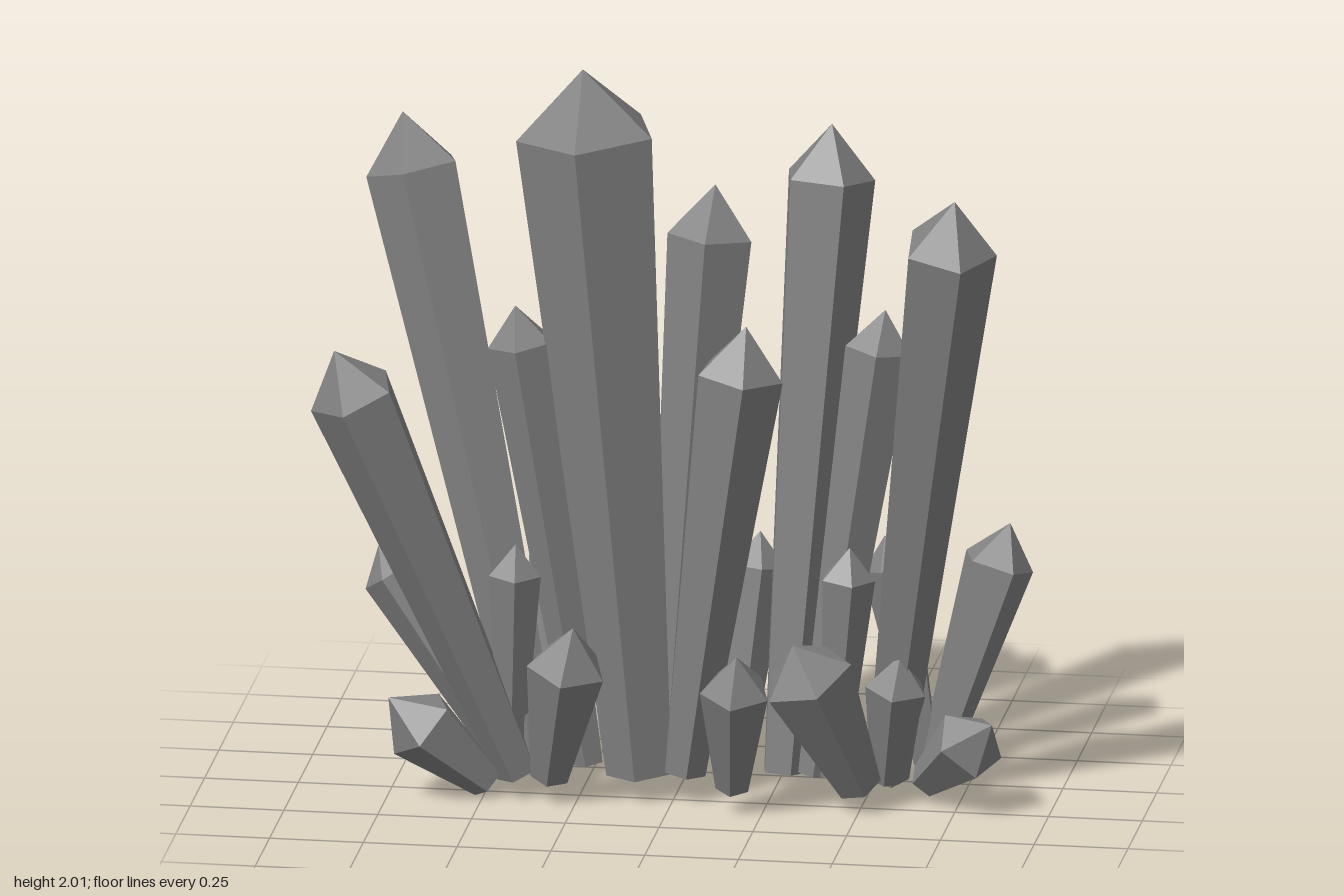
import * as THREE from 'three';

const material = new THREE.MeshStandardMaterial({ color: 0x828282, flatShading: true });

// One five-sided shard: narrow foot, widening shaft, pointed cap
function crystal(name, base, tip, radius, spin, capRatio = 1.15) {
  const a = new THREE.Vector3(...base), axis = new THREE.Vector3(...tip).sub(a);
  const length = axis.length();
  const profile = [
    [0, 0],
    [radius * 0.48, 0],
    [radius, length - radius * capRatio],
    [0, length],
  ].map(([r, y]) => new THREE.Vector2(r, y));
  const start = Math.PI / 2 - THREE.MathUtils.degToRad(spin);
  const geometry = new THREE.LatheGeometry(profile, 5, start).toNonIndexed();
  geometry.computeVertexNormals();
  const mesh = new THREE.Mesh(geometry, material);
  mesh.name = name;
  mesh.position.copy(a);
  mesh.quaternion.setFromUnitVectors(new THREE.Vector3(0, 1, 0), axis.normalize());
  return mesh;
}

// foot centre, tip, shoulder radius, spin in degrees, cap height per radius
const tall = [
  [[-0.09, 0.06, -0.02], [-0.24, 2.0, 0.01], 0.192, 20, 0.92],
  [[-0.35, 0.07, 0.0], [-0.76, 1.78, -0.25], 0.13, 22],
  [[-0.41, 0.06, 0.03], [-0.86, 1.28, 0.29], 0.12, 25],
  [[-0.23, 0.08, -0.02], [-0.42, 1.34, 0.01], 0.09, 20],
  [[-0.03, 0.06, -0.12], [0.08, 1.63, -0.21], 0.118, 18],
  [[0.28, 0.06, -0.08], [0.38, 1.79, -0.28], 0.125, -10],
  [[0.55, 0.05, -0.11], [0.79, 1.76, 0.26], 0.127, -5],
  [[0.03, 0.07, 0.0], [0.2, 1.32, 0.04], 0.118, 5],
  [[0.37, 0.07, -0.04], [0.55, 1.34, -0.1], 0.093, 15],
];

const small = [
  [[-0.43, 0.07, 0.0], [-0.8, 0.63, -0.09], 0.09, 30, 0.9],
  [[-0.43, 0.08, 0.02], [-0.41, 0.7, 0.07], 0.072, 10],
  [[-0.36, 0.06, -0.02], [-0.34, 0.69, -0.15], 0.07, 0],
  [[-0.4, 0.06, -0.03], [-0.46, 0.42, -0.15], 0.08, 20],
  [[-0.49, 0.03, 0.03], [-0.74, 0.28, 0.13], 0.105, 18],
  [[-0.32, 0.06, 0.06], [-0.24, 0.51, 0.18], 0.108, 18],
  [[0.15, 0.06, -0.1], [0.2, 0.68, -0.21], 0.08, 0],
  [[0.17, 0.06, 0.08], [0.2, 0.46, 0.21], 0.095, 18],
  [[0.5, 0.06, 0.02], [0.345, 0.49, 0.18], 0.125, 0, 0.85],
  [[0.42, 0.07, -0.03], [0.47, 0.71, 0.0], 0.074, 0],
  [[0.56, 0.06, -0.05], [0.61, 0.43, 0.03], 0.085, 18],
  [[0.67, 0.07, -0.17], [0.86, 0.72, -0.25], 0.098, -16],
  [[0.66, 0.05, -0.09], [0.86, 0.26, 0.07], 0.1, -15],
  [[0.65, 0.07, -0.18], [0.525, 0.67, -0.25], 0.075, 30],
];

export function createModel() {
  const model = new THREE.Group();
  model.name = 'crystalCluster';
  for (const [name, list] of [['tallCrystal', tall], ['smallCrystal', small]]) {
    list.forEach((spec, i) => model.add(crystal(`${name}${i + 1}`, ...spec)));
  }
  return model;
}
